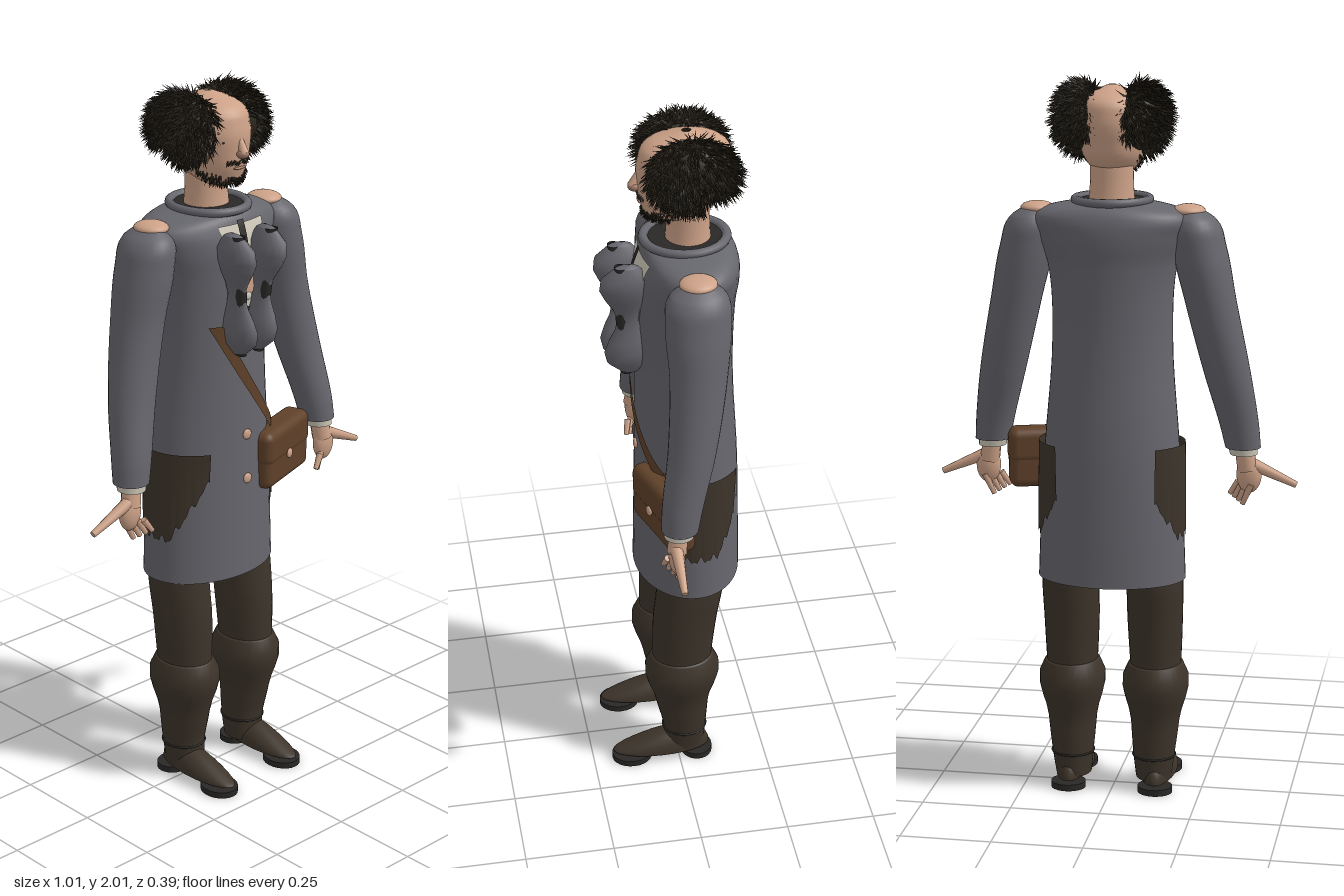
import * as THREE from 'three';
import { mergeGeometries } from 'three/addons/utils/BufferGeometryUtils.js';
import { RoundedBoxGeometry } from 'three/addons/geometries/RoundedBoxGeometry.js';
import { ParametricGeometry } from 'three/addons/geometries/ParametricGeometry.js';

const mat = (name, color) => {
  const m = new THREE.MeshStandardMaterial({ color, side: THREE.DoubleSide });
  m.name = name;
  return m;
};

// Elliptical body described by rings [y, centreX, centreZ, radiusX, radiusZ], lowest first.
function surface(rings) {
  const interp = new THREE.CubicInterpolant(rings.map(r => r[0]), rings.flatMap(r => r.slice(1)), 4, new Float32Array(4));
  const at = y => interp.evaluate(y);
  const point = (a, y, off = 0, t = new THREE.Vector3()) => {
    const [cx, cz, rx, rz] = at(y);
    return t.set(cx + (rx + off) * Math.sin(a), y, cz + (rz + off) * Math.cos(a));
  };
  return { rings, at, point };
}

// Smooth closed tube through a surface's rings.
function loft(s, sides = 36, sub = 5) {
  const ys = [];
  s.rings.forEach((r, i) => {
    if (i === 0) return ys.push(r[0]);
    const y0 = s.rings[i - 1][0];
    for (let k = 1; k <= sub; k++) ys.push(y0 + (r[0] - y0) * k / sub);
  });
  const pos = [], idx = [];
  ys.forEach((y, j) => {
    for (let i = 0; i < sides; i++) {
      pos.push(...s.point(i / sides * Math.PI * 2, y).toArray());
      if (j === ys.length - 1) continue;
      const a = j * sides + i, b = j * sides + (i + 1) % sides;
      idx.push(a, b, b + sides, a, b + sides, a + sides);
    }
  });
  const g = new THREE.BufferGeometry();
  g.setAttribute('position', new THREE.Float32BufferAttribute(pos, 3));
  g.setIndex(idx);
  g.computeVertexNormals();
  return g;
}

// Tapered round rod between two points.
function rod(a, b, r0, r1, sides = 10) {
  const A = new THREE.Vector3(...a), d = new THREE.Vector3(...b).sub(A), len = d.length();
  const g = new THREE.CylinderGeometry(r1, r0, len, sides).translate(0, len / 2, 0);
  g.applyQuaternion(new THREE.Quaternion().setFromUnitVectors(new THREE.Vector3(0, 1, 0), d.normalize()));
  return g.translate(...a);
}

const ball = (x, y, z, rx, ry, rz) => new THREE.SphereGeometry(1, 24, 16).scale(rx, ry, rz).translate(x, y, z);

export function createModel() {
  const root = new THREE.Group();
  root.name = 'figure';
  const coatMat = mat('coat grey', 0x66666d), skin = mat('skin', 0xcda288), trouser = mat('dark brown cloth', 0x3d342a);
  const hairMat = mat('hair', 0x2d271d), leather = mat('bag leather', 0x5f4129), cream = mat('shirt cream', 0xcdc7b8);
  const black = mat('black cloth', 0x292826), lipMat = mat('lip and nose tint', 0x9c7562);
  const add = (name, g, m) => {
    const mesh = new THREE.Mesh(g, m);
    mesh.name = name;
    root.add(mesh);
    return mesh;
  };
  let seed = 7;
  const rnd = () => (seed = (seed * 16807) % 2147483647) / 2147483647;

  // Coat
  const coat = surface([
    [0.625, 0, -0.042, 0.205, 0.148], [0.8, 0, -0.042, 0.198, 0.145], [1.0, 0, -0.041, 0.186, 0.141],
    [1.3, 0, -0.034, 0.165, 0.132], [1.5, 0, -0.036, 0.177, 0.135], [1.58, 0, -0.041, 0.205, 0.138],
    [1.63, 0, -0.045, 0.215, 0.128], [1.655, 0, -0.043, 0.17, 0.115], [1.667, 0, -0.04, 0.105, 0.1]]);
  add('coat', loft(coat, 48), coatMat);
  add('collar', new THREE.TorusGeometry(0.1, 0.012, 10, 40).rotateX(Math.PI / 2).scale(1, 1, 1.1).translate(0, 1.672, -0.037), coatMat);
  add('collarLining', new THREE.CylinderGeometry(0.1, 0.1, 0.006, 32).scale(1, 1, 1.08).translate(0, 1.67, -0.037), black);

  // Thin panels that follow the coat; map(u, v) gives [x on the front, y]
  const panel = (name, map, off, m, nu = 8, nv = 12) => add(name, new ParametricGeometry((u, v, t) => {
    const [x, y] = map(u, v);
    coat.point(Math.asin(x / coat.at(y)[2]), y, off, t);
  }, nu, nv), m);
  const lerp = THREE.MathUtils.lerp;
  panel('shirt', (u, v) => [lerp(lerp(-0.03, -0.07, v), lerp(0.045, 0.09, v), u), lerp(1.4, 1.64, v)], 0.004, cream);
  panel('waistcoat', (u, v) => [lerp(-0.035, 0.045, u), lerp(1.32, 1.41, v)], 0.006, black);
  panel('chestGap', (u, v) => [(u - 0.5) * 0.09 * Math.sqrt(Math.max(0.02, 1 - (2 * v - 1) ** 2)), lerp(1.44, 1.505, v)], 0.007, skin);
  panel('bagStrap', (u, v) => [lerp(0.165, -0.085, v) + (u - 0.5) * 0.034 - 0.02 * Math.sin(v * Math.PI), lerp(0.99, 1.37, v)], 0.012, leather, 4, 20);
  panel('neckTie', (u, v) => [(u - 0.5) * 0.022, lerp(1.57, 1.65, v)], 0.01, black, 2, 4);

  // Buttons
  for (const y of [1.04, 0.91]) {
    const p = coat.point(0.08, y, 0.002);
    add('coatButton', ball(p.x, p.y, p.z, 0.015, 0.015, 0.006), skin);
  }
  for (const y of [1.44, 1.31]) add('waistcoatButton', ball(0.012, y, 0.107, 0.011, 0.011, 0.005), cream);

  // Bag
  const bag = new THREE.Group();
  bag.name = 'bag';
  const bagPart = (name, g, m) => { const k = new THREE.Mesh(g, m); k.name = name; bag.add(k); };
  bagPart('bagBody', new RoundedBoxGeometry(0.245, 0.165, 0.075, 4, 0.025), leather);
  bagPart('bagFlap', new RoundedBoxGeometry(0.25, 0.1, 0.082, 3, 0.025).translate(0, 0.036, 0), leather);
  bagPart('bagButton', ball(-0.01, -0.003, 0.042, 0.014, 0.014, 0.006), skin);
  bag.position.set(0.185, 0.936, 0.05);
  bag.rotation.y = 0.32;
  root.add(bag);

  for (const s of [1, -1]) {
    const mir = rings => surface(rings.map(([y, cx, ...r]) => [y, cx * s, ...r]));
    const side = s > 0 ? 'left' : 'right';

    // Hanging lapel with a dark front edge
    add(side + 'Lapel', loft(mir([[1.284, 0.032, 0.115, 0.001, 0.002], [1.29, 0.032, 0.116, 0.012, 0.022],
      [1.46, 0.046, 0.121, 0.014, 0.03], [1.625, 0.06, 0.125, 0.017, 0.032], [1.634, 0.06, 0.12, 0.002, 0.004]]), 16), coatMat);
    add(side + 'LapelEdge', loft(mir([[1.287, 0.032, 0.125, 0.013, 0.016], [1.46, 0.046, 0.138, 0.015, 0.017],
      [1.628, 0.06, 0.144, 0.018, 0.016]]), 12), black);

    // Ragged side pocket
    add(side + 'Pocket', new ParametricGeometry((u, v, t) => {
      const w = s > 0 ? u : 1 - u;
      const rag = 0.008 * Math.sin(w * 47) + 0.006 * Math.sin(w * 91);
      const low = 0.755 + 0.17 * Math.max(0, 1 - w / 0.35) + 0.1 * Math.max(0, (w - 0.75) / 0.25) + rag;
      coat.point(s * lerp(0.58, 2.4, w), lerp(low, 1.01, v), lerp(0.005, 0.017, v), t);
    }, 60, 8), trouser);

    // Sleeve, shoulder tear and cuff
    add(side + 'Sleeve', loft(mir([[0.985, 0.352, 0.037, 0.049, 0.05], [1.05, 0.342, 0.028, 0.054, 0.055],
      [1.2, 0.311, -0.002, 0.064, 0.064], [1.4, 0.267, -0.026, 0.07, 0.076], [1.55, 0.235, -0.03, 0.073, 0.086],
      [1.62, 0.222, -0.032, 0.06, 0.075], [1.652, 0.215, -0.035, 0.022, 0.035]]), 28), coatMat);
    add(side + 'ShoulderTear', ball(s * 0.207, 1.645, -0.035, 0.045, 0.018, 0.05), skin).rotation.z = 0;
    add(side + 'Cuff', loft(mir([[0.965, 0.354, 0.04, 0.038, 0.04], [0.995, 0.35, 0.037, 0.042, 0.043]]), 24, 2), cream);

    // Hand
    add(side + 'Palm', ball(s * 0.368, 0.905, 0.048, 0.035, 0.052, 0.022), skin);
    add(side + 'Wrist', rod([s * 0.354, 0.985, 0.04], [s * 0.364, 0.92, 0.047], 0.026, 0.028), skin);
    add(side + 'PointingFinger', rod([s * 0.375, 0.935, 0.05], [s * 0.5, 0.88, 0.05], 0.018, 0.009), skin);
    for (let i = 0; i < 4; i++) {
      const x = 0.376 - i * 0.013, z = 0.034 + i * 0.011;
      add(side + 'Finger', rod([s * x, 0.88, z], [s * (x - 0.025), 0.822 + i * 0.007, z + 0.008], 0.01, 0.007, 8), skin);
    }

    // Leg, boot shaft and shoe
    add(side + 'Leg', loft(mir([[0.34, 0.119, -0.01, 0.07, 0.083], [0.5, 0.118, -0.02, 0.077, 0.091],
      [0.62, 0.118, -0.035, 0.079, 0.094], [0.8, 0.1, -0.04, 0.08, 0.09]]), 28), trouser);
    add(side + 'BootShaft', loft(mir([[0.035, 0.115, -0.015, 0.05, 0.062], [0.1, 0.116, -0.02, 0.058, 0.062],
      [0.2, 0.118, -0.013, 0.068, 0.076], [0.368, 0.119, -0.012, 0.077, 0.09], [0.374, 0.119, -0.012, 0.068, 0.08]]), 28), trouser);
    add(side + 'BootSeam', new THREE.TorusGeometry(0.059, 0.003, 6, 28).rotateX(Math.PI / 2).scale(1, 1, 1.06).translate(s * 0.116, 0.1, -0.02), black);
    const shoe = new THREE.SphereGeometry(1, 28, 18), p = shoe.attributes.position;
    for (let i = 0; i < p.count; i++) {
      const x = p.getX(i), y = p.getY(i), z = p.getZ(i);
      p.setXYZ(i, s * 0.122 + x * 0.049, 0.028 + (y > 0 ? y * lerp(0.095, 0.018, (z + 1) / 2) : y * 0.006), 0.05 + z * 0.142);
    }
    shoe.computeVertexNormals();
    add(side + 'Shoe', shoe, trouser);
    add(side + 'FootBottom', ball(s * 0.122, 0.021, 0.04, 0.036, 0.006, 0.115), skin);
    const pad = (z, rz) => new THREE.CylinderGeometry(0.049, 0.049, 0.018, 24).scale(1, 1, rz / 0.049).translate(s * 0.124, 0.009, z);
    add(side + 'Sole', pad(0.137, 0.058), black);
    add(side + 'Heel', pad(-0.055, 0.045), black);

    // Eye and brow
    add(side + 'Eye', ball(s * 0.04, 1.864, 0.071, 0.012, 0.009, 0.006), black);
    add(side + 'Brow', rod([s * 0.022, 1.887, 0.08], [s * 0.06, 1.889, 0.062], 0.004, 0.003, 6), hairMat);
  }

  // Head and neck
  const head = surface([[1.728, 0, 0, 0.01, 0.012], [1.74, 0, 0, 0.04, 0.055], [1.77, 0, -0.018, 0.07, 0.095],
    [1.83, 0, -0.028, 0.09, 0.117], [1.9, 0, -0.035, 0.097, 0.122], [1.95, 0, -0.038, 0.075, 0.095], [1.978, 0, -0.04, 0.01, 0.012]]);
  add('head', loft(head, 36), skin);
  add('neck', loft(surface([[1.64, 0, -0.045, 0.066, 0.064], [1.7, 0, -0.045, 0.06, 0.058], [1.78, 0, -0.045, 0.058, 0.056]]), 28), skin);
  add('nose', rod([0, 1.872, 0.083], [0, 1.832, 0.1], 0.007, 0.014), skin);
  add('noseTip', ball(0, 1.83, 0.096, 0.018, 0.013, 0.017), lipMat);
  add('mouth', ball(0, 1.79, 0.083, 0.022, 0.004, 0.006), lipMat);

  // Hair: two parted lobes covered in strands
  const strands = [], up = new THREE.Vector3(0, 1, 0);
  const strand = (pos, dir, len, r) => {
    const g = new THREE.ConeGeometry(r, len, 3, 1, true).translate(0, len * 0.4, 0);
    g.applyQuaternion(new THREE.Quaternion().setFromUnitVectors(up, dir.normalize()));
    strands.push(g.translate(pos.x, pos.y, pos.z));
  };
  for (const s of [1, -1]) {
    add('hairLobe', ball(s * 0.083, 1.893, -0.05, 0.06, 0.088, 0.103), hairMat);
    for (let i = 0; i < 2200; i++) {
      const h = 2 * rnd() - 1, a = rnd() * Math.PI * 2, q = Math.sqrt(1 - h * h);
      const n = new THREE.Vector3(q * Math.cos(a), h, q * Math.sin(a));
      const pos = new THREE.Vector3(s * 0.081 + n.x * 0.062, 1.892 + n.y * 0.09, -0.042 + n.z * 0.112);
      const face = pos.z > 0 && Math.abs(pos.x) < 0.078 && pos.y < 1.915;
      const nape = pos.z < -0.06 && pos.y < 1.84;
      if (face || nape || pos.x * s < 0.02) continue;
      const dir = new THREE.Vector3(n.x * 0.6 + s * 0.35, n.y * 0.5 - 0.4, n.z * 0.6);
      dir.x += (rnd() - 0.5) * 0.5; dir.y += (rnd() - 0.5) * 0.4; dir.z += (rnd() - 0.5) * 0.5;
      strand(pos, dir, 0.025 + rnd() * 0.022, 0.004);
    }
  }
  add('hairStrands', mergeGeometries(strands), hairMat);

  // Beard and moustache stubble
  strands.length = 0;
  for (let i = 0; i < 260; i++) {
    const a = (rnd() - 0.5) * 2.8;
    const pos = head.point(a, 1.738 + rnd() * (0.022 + 0.02 * Math.abs(a)), 0.001);
    strand(pos, new THREE.Vector3(Math.sin(a) * 0.6 + (rnd() - 0.5) * 0.5, -0.8, Math.cos(a) * 0.6), 0.014, 0.0025);
  }
  for (let i = 0; i < 50; i++) {
    const a = (rnd() - 0.5) * 0.9;
    strand(head.point(a, 1.803 + rnd() * 0.01, 0.001), new THREE.Vector3(Math.sign(a) * 0.8, -0.5, 0.2), 0.012, 0.0025);
  }
  add('beard', mergeGeometries(strands), hairMat);
  return root;
}
